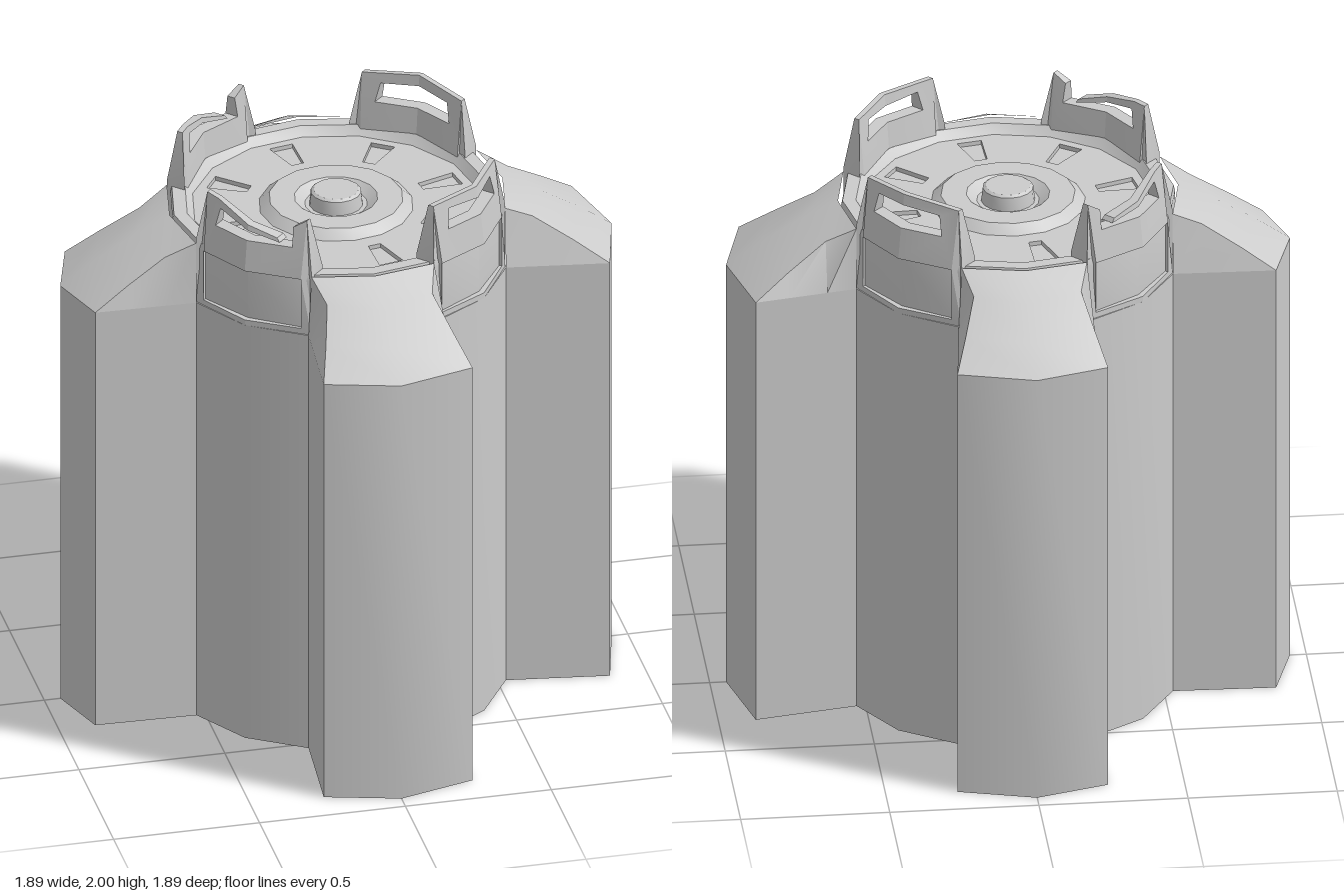
import * as THREE from 'three';
import { toCreasedNormals } from 'three/addons/utils/BufferGeometryUtils.js';

const SHOULDER = 1.565, TOP = 1.785;
const grey = new THREE.MeshStandardMaterial({ color: 0xcccccc });
const { lerp, clamp } = THREE.MathUtils;

function part(name, geometry, crease = 0.6) {
  const mesh = new THREE.Mesh(toCreasedNormals(geometry, crease), grey);
  mesh.name = name;
  return mesh;
}

const shapeOf = pts => new THREE.Shape(pts.map(p => new THREE.Vector2(...p)));
const lathe = pts => new THREE.LatheGeometry(pts.map(p => new THREE.Vector2(...p)), 16);

// Lobe half widths on both sides, in the order left, back, right, front
const LOBES = [
  { plus: 0.285, minus: 0.27 },
  { plus: 0.245, minus: 0.26 },
  { plus: 0.21, minus: 0.23 },
  { plus: 0.26, minus: 0.25 },
];

// Turn radial / sideways distances of a lobe into plan coordinates
const plan = (a, r, t) => [r * Math.cos(a) - t * Math.sin(a), r * Math.sin(a) + t * Math.cos(a)];

// Cross-shaped lower body
function bodyGeometry() {
  const pts = [];
  LOBES.forEach(({ plus, minus }, k) => {
    const a = k * Math.PI / 2;
    pts.push(plan(a, 0.53, -0.22), plan(a, 0.875, -minus), plan(a, 0.945, 0),
      plan(a, 0.875, plus), plan(a, 0.53, 0.22), plan(a + Math.PI / 4, 0.58, 0));
  });
  return new THREE.ExtrudeGeometry(shapeOf(pts), { depth: SHOULDER, bevelEnabled: false }).rotateX(-Math.PI / 2);
}

// Sloping lobe top, lofted from the outer edge in to the rim
function lobeTopGeometry({ plus, minus }, a) {
  // side radius, ridge radius, side height, ridge height
  const stations = [
    [0.875, 0.945, SHOULDER, SHOULDER],
    [0.76, 0.83, 1.645, 1.645],
    [0.63, 0.7, 1.728, 1.722],
    [0.53, 0.57, TOP, TOP],
  ];
  const pos = [], index = [];
  stations.forEach(([r, ridge, y, ridgeY], i) => {
    const f = (0.875 - r) / 0.345;
    const base = w => lerp(w, 0.22, f);
    const top = w => [w, lerp(w, 0.18, 0.5), 0.18, 0.21][i];
    const section = [
      [r, -base(minus), SHOULDER], [r, -top(minus), y], [ridge, 0, ridgeY],
      [r, top(plus), y], [r, base(plus), SHOULDER],
    ];
    section.forEach(([rr, t, h]) => {
      const [x, s] = plan(a, rr, t);
      pos.push(x, h, -s);
    });
    if (i === 0) return;
    for (let j = 0; j < 4; j++) {
      const p = (i - 1) * 5 + j, q = p + 5;
      index.push(p, p + 1, q, p + 1, q + 1, q);
    }
  });
  const g = new THREE.BufferGeometry();
  g.setAttribute('position', new THREE.Float32BufferAttribute(pos, 3));
  g.setIndex(index);
  return g;
}

// Deck disc with eight tapered slots
function deckGeometry() {
  const ring = [];
  for (let i = 0; i < 16; i++) ring.push(plan(i * Math.PI / 8, 0.485, 0));
  const shape = shapeOf(ring);
  for (let i = 0; i < 8; i++) {
    const a = THREE.MathUtils.degToRad(11 + 45 * i);
    const slot = [[0.31, -0.022], [0.445, -0.042], [0.445, 0.042], [0.31, 0.022]];
    shape.holes.push(shapeOf(slot.map(([r, t]) => plan(a, r, t))));
  }
  return new THREE.ExtrudeGeometry(shape, { depth: 0.015, bevelEnabled: false })
    .rotateX(-Math.PI / 2).translate(0, 1.74, 0);
}

// Half of a handle plate: recessed panel below, grip opening above
function handleHalf(side, style, peak) {
  const lower = [[0, 1.88], [0, 1.77], [0.19, 1.77], [0.19, 1.585], [0, 1.585],
    [0, SHOULDER], [0.226, SHOULDER], [0.226, 1.8], [0.195, 1.98]];
  const uppers = {
    whole: [[0, peak], [0, peak - 0.04], [0.13, 1.95], [0.145, 1.88]],
    bar: [[0.14, 1.975], [0, 1.935], [0, 1.915], [0.13, 1.945], [0.145, 1.88]],
    stub: [[0.15, 1.95], [0.155, 1.88]],
  };
  const outlines = [[...lower, ...uppers[style]]];
  // loose end of the snapped bar
  if (style === 'stub') outlines.push([[0, 1.915], [0.11, 1.89], [0.1, 1.905], [0, 1.935]]);
  const shapes = outlines.map(o => shapeOf(o.map(([u, y]) => [side * u, y])));
  const g = new THREE.ExtrudeGeometry(shapes, { depth: 1, bevelEnabled: false });

  // bend the plate round the core, lean it in and thin it towards the top
  const p = g.attributes.position;
  for (let i = 0; i < p.count; i++) {
    const f = clamp((p.getY(i) - 1.8) / 0.18, 0, 1);
    const outer = 0.58 - 0.25 * Math.abs(p.getX(i)) - 0.03 * f;
    p.setZ(i, outer - (1 - p.getZ(i)) * lerp(0.07, 0.02, f));
  }
  return g;
}

export function createModel() {
  const model = new THREE.Group();
  model.name = 'tank';
  model.add(part('body', bodyGeometry()));
  LOBES.forEach((lobe, k) => model.add(part('lobeTop', lobeTopGeometry(lobe, k * Math.PI / 2))));

  // Upper core with raised rim and deck floor
  model.add(part('rim', lathe([[0.56, 1.55], [0.56, 1.765], [0.555, TOP], [0.51, TOP],
    [0.48, 1.75], [0.48, 1.74], [0, 1.74]]), 0.45));
  model.add(part('slottedDeck', deckGeometry(), 0.3));

  // Raised platform with a pit and a central cap
  model.add(part('hub', lathe([[0.265, 1.75], [0.225, TOP], [0.14, TOP], [0.105, 1.76],
    [0.09, 1.76], [0.085, 1.808], [0.075, 1.815], [0, 1.815]]), 0.45));

  // Handles on the diagonals: two whole, two with a snapped bar
  const handles = [
    { turn: 1, peak: 1.98 },
    { turn: 3, peak: 2.0 },
    { turn: -1, barSide: -1 },
    { turn: -3, barSide: 1 },
  ];
  for (const { turn, peak, barSide } of handles) {
    const handle = new THREE.Group();
    handle.name = barSide ? 'brokenHandle' : 'handle';
    for (const side of [-1, 1]) {
      const style = !barSide ? 'whole' : side === barSide ? 'bar' : 'stub';
      handle.add(part('handleHalf', handleHalf(side, style, peak), 0.3));
    }
    handle.rotation.y = turn * Math.PI / 4;
    model.add(handle);
  }
  return model;
}
